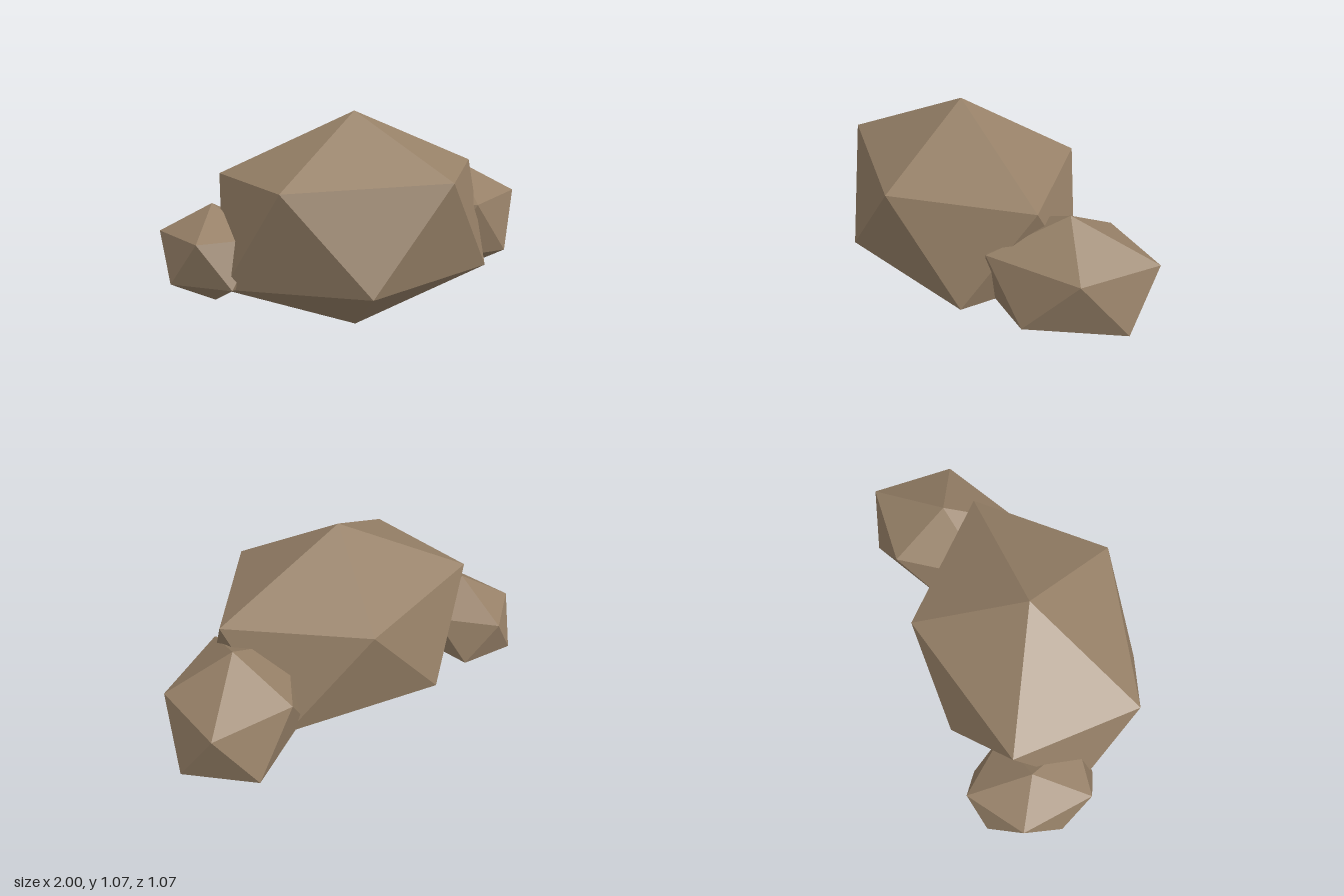
import * as THREE from 'three';

// Unit icosahedron standing on one point, with an upper-ring corner towards +x
function rockGeometry() {
  const geometry = new THREE.IcosahedronGeometry(1, 0);
  geometry.rotateZ(-Math.atan(2 / (1 + Math.sqrt(5))));
  return geometry;
}

export function createModel() {
  const group = new THREE.Group();
  group.name = 'rockCluster';

  const stone = new THREE.MeshStandardMaterial({ color: 0x968067, flatShading: true });
  stone.name = 'brown stone';

  const rocks = [
    // name, centre, radii, turn about y
    ['largeRock', [-0.115, 0.537, 0.024], [0.788, 0.537, 0.6], 0],
    ['leftRock', [0.625, 0.44, -0.127], [0.464, 0.31, 0.343], 0.72],
    ['rightRock', [-0.757, 0.41, -0.225], [0.354, 0.24, 0.274], 1.42],
  ];

  const geometry = rockGeometry();
  for (const [name, centre, radii, turn] of rocks) {
    const rock = new THREE.Mesh(geometry, stone);
    rock.name = name;
    rock.position.set(...centre);
    rock.scale.set(...radii);
    rock.rotation.y = turn;
    group.add(rock);
  }
  return group;
}
